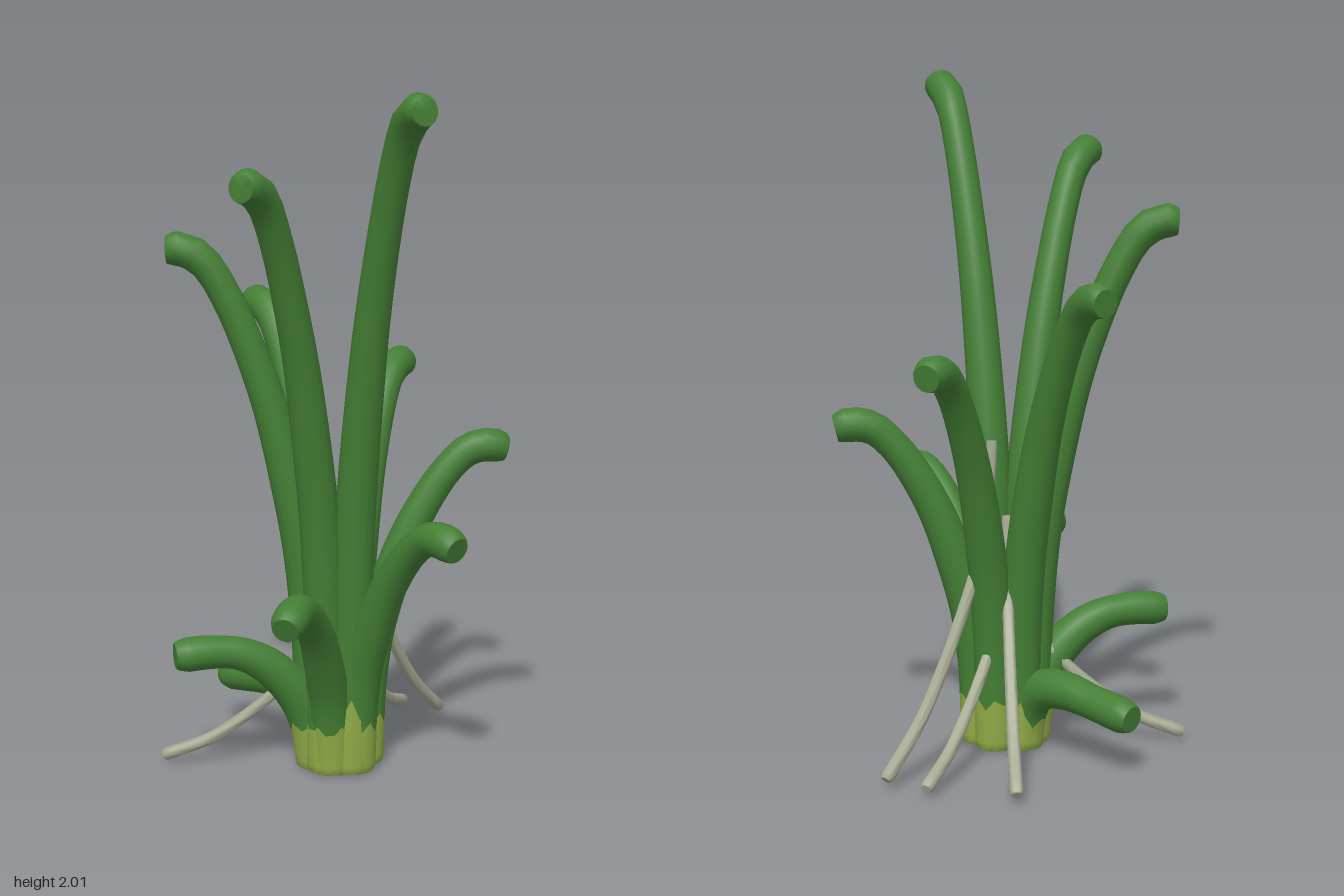
import * as THREE from 'three';
import { toCreasedNormals } from 'three/addons/utils/BufferGeometryUtils.js';

const SIDES = 14;

const mat = (name, color) => {
  const m = new THREE.MeshStandardMaterial({ color });
  m.name = name;
  return m;
};

// Sweeps a round section along a curve lying in the XY plane and closes both ends.
// Rings: { u, r, shift(j) } where shift slides a vertex along the curve.
// Quads before ring `split` use material 0, the rest material 1.
function sweep(curve, rings, split) {
  const pos = [], index = [];
  for (const { u, r, shift } of rings) {
    const c = curve.getPointAt(u), t = curve.getTangentAt(u);
    for (let j = 0; j < SIDES; j++) {
      const a = (j / SIDES) * Math.PI * 2, n = Math.cos(a) * r, s = shift ? shift(j) : 0;
      pos.push(c.x - t.y * n + t.x * s, c.y + t.x * n + t.y * s, Math.sin(a) * r);
    }
  }
  for (let k = 0; k < rings.length - 1; k++) {
    for (let j = 0; j < SIDES; j++) {
      const j2 = (j + 1) % SIDES, a = k * SIDES + j, b = k * SIDES + j2;
      const c = b + SIDES, d = a + SIDES;
      index.push(a, b, c, a, c, d);
    }
  }
  const geo = new THREE.BufferGeometry();
  geo.setAttribute('position', new THREE.Float32BufferAttribute(pos, 3));
  geo.setIndex(index);
  const cut = split * SIDES * 6;
  if (cut > 0) geo.addGroup(0, cut, 0);
  geo.addGroup(cut, index.length - cut, 1);
  return toCreasedNormals(geo, 0.9);
}

const path = (pts) => new THREE.CatmullRomCurve3(pts.map(([x, y]) => new THREE.Vector3(x, y, 0)));

// Upright stalk outline: distance from the middle, fraction of the tip height
const UPRIGHT = [[0.076, 0], [0.078, 0.12], [0.084, 0.25], [0.108, 0.42], [0.15, 0.56],
  [0.205, 0.7], [0.265, 0.81], [0.325, 0.9], [0.39, 0.97], [0.45, 0.998], [0.5, 1]];

// The two lowest stalks bend over early: distance from the middle, height
const LOW = [[0.076, 0], [0.083, 0.08], [0.105, 0.165], [0.155, 0.255], [0.23, 0.328],
  [0.31, 0.367], [0.4, 0.378], [0.5, 0.374]];
const LOWEST = [[0.076, 0], [0.082, 0.08], [0.11, 0.15], [0.165, 0.19], [0.25, 0.2],
  [0.36, 0.187], [0.492, 0.17]];

// Shorter stalks arch a little more
function stalkPoints(i) {
  if (i === 9) return LOWEST;
  if (i === 8) return LOW;
  const tipY = 1.952 - 0.199 * i;
  return UPRIGHT.map(([r, f]) =>
    [r, f * tipY + 0.008 * i * Math.sin(Math.PI * (r - 0.076) / 0.424)]);
}

// Thick at the foot, a slight neck, then a swollen tip
function stalkRadius(u, length) {
  const fromTip = (1 - u) * length;
  const body = THREE.MathUtils.lerp(0.06, 0.046, THREE.MathUtils.smoothstep(u, 0.35, 0.9));
  return body + 0.005 * (1 - THREE.MathUtils.smoothstep(fromTip, 0.06, 0.18));
}

function stalkGeometry(i) {
  const curve = path(stalkPoints(i));
  const length = curve.getLength();
  const paleTop = i === 0 ? 0.205 : i === 9 ? 0.1 : 0.145;
  const jagSize = i === 0 ? 0.035 : 0.018;
  const jag = (j) => jagSize * Math.sin(j * 2.4 + i * 1.7);
  const u1 = (paleTop + 0.045) / length, uEnd = 1 - 0.035 / length, steps = 30;
  const rings = [
    { u: 0, r: 0 }, { u: 0, r: 0.052 }, { u: 0.01 / length, r: 0.058 },
    { u: 0.025 / length, r: 0.059 }, { u: paleTop / length, r: 0.06, shift: jag },
  ];
  for (let k = 0; k <= steps; k++) {
    const u = u1 + (uEnd - u1) * (k / steps);
    rings.push({ u, r: stalkRadius(u, length) });
  }
  rings.push({ u: 1 - 0.012 / length, r: 0.045 }, { u: 1, r: 0.039 }, { u: 1, r: 0 });
  return sweep(curve, rings, 4);
}

// Dry root outline: distance from the middle, fraction of the start height
const ROOT = [[0.064, 1], [0.08, 0.82], [0.118, 0.65], [0.185, 0.5], [0.275, 0.335], [0.39, 0.165]];

function rootGeometry(startY) {
  const curve = path([...ROOT.map(([r, f]) => [r, f * startY]), [0.535, 0.021]]);
  const rings = [{ u: 0, r: 0 }, { u: 0, r: 0.015 }];
  for (let k = 1; k < 20; k++) rings.push({ u: k / 20, r: 0.016 + 0.003 * (k / 20) });
  rings.push({ u: 0.99, r: 0.019 }, { u: 1, r: 0.014 }, { u: 1, r: 0 });
  return sweep(curve, rings, 0);
}

export function createModel() {
  const model = new THREE.Group();
  model.name = 'plant';
  const green = mat('stalkGreen', 0x447f35);
  const pale = mat('paleLime', 0x90ab47);
  const dry = mat('dryGrey', 0xa5aa92);

  const add = (parent, name, geo, material, degrees = 0) => {
    const mesh = new THREE.Mesh(geo, material);
    mesh.name = name;
    mesh.rotation.y = -THREE.MathUtils.degToRad(degrees);
    parent.add(mesh);
    return mesh;
  };

  // Ten stalks spiralling round the middle, each shorter than the last
  const stalks = new THREE.Group();
  stalks.name = 'stalks';
  model.add(stalks);
  for (let i = 0; i < 10; i++) {
    add(stalks, 'stalk' + (i + 1), stalkGeometry(i), [pale, green], 91.4 + 57.65 * i);
  }

  // Core filling the gap between the stalks
  add(model, 'core', new THREE.CylinderGeometry(0.026, 0.04, 0.28, 6), green).position.set(0.005, 0.18, -0.005);

  // Thin dry roots drooping to the ground
  [[-24.5, 0.92], [-66.5, 0.7], [-39, 0.47], [207, 0.46]].forEach(([deg, h], i) =>
    add(model, 'dryRoot' + (i + 1), rootGeometry(h), [dry, dry], deg));

  return model;
}
